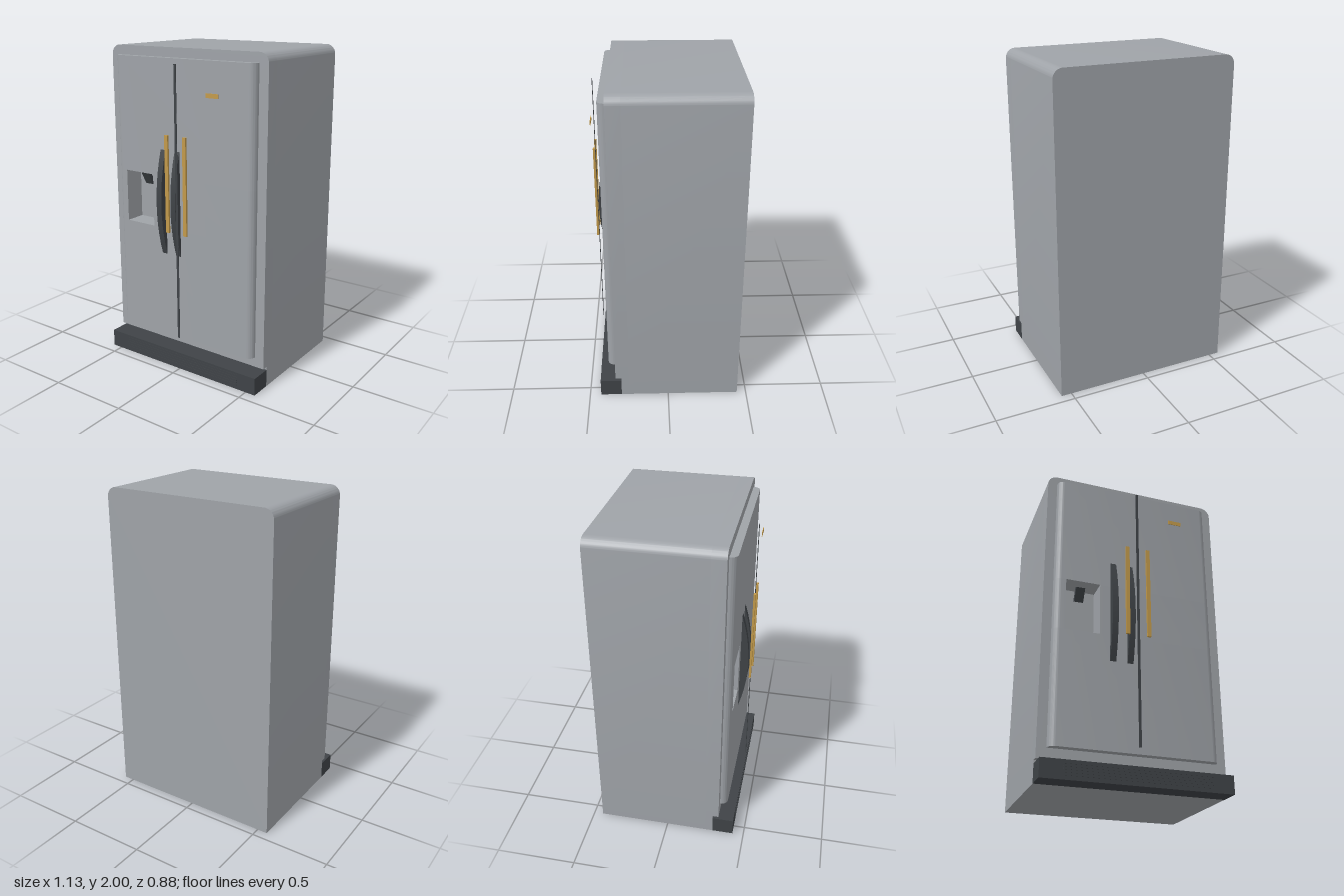
import * as THREE from 'three';
import { toCreasedNormals } from 'three/addons/utils/BufferGeometryUtils.js';

const steel = new THREE.MeshStandardMaterial({ color: 0x9fa3a8 });
const dark = new THREE.MeshStandardMaterial({ color: 0x3f4347 });
const gold = new THREE.MeshStandardMaterial({ color: 0xc29a4b });

// dispenser opening, cut through the door and into the cabinet
const HOLE = { x0: -0.438, x1: -0.225, y0: 0.902, y1: 1.232, back: 0.25 };
const REAR = -0.4425;

export function createModel() {
  const model = new THREE.Group();

  const add = (name, geometry, material) => {
    const mesh = new THREE.Mesh(geometry, material);
    mesh.name = name;
    model.add(mesh);
    return mesh;
  };
  const box = (name, material, x0, x1, y0, y1, z0, z1) => {
    const mesh = add(name, new THREE.BoxGeometry(x1 - x0, y1 - y0, z1 - z0), material);
    mesh.position.set((x0 + x1) / 2, (y0 + y1) / 2, (z0 + z1) / 2);
    return mesh;
  };
  const extrude = (shape, depth) => toCreasedNormals(
    new THREE.ExtrudeGeometry(shape, { depth, bevelEnabled: false, curveSegments: 10 }), 0.6);

  // cabinet outline with rounded top corners
  const cabinetShape = (bottom) => {
    const w = 0.565, r = 0.06, s = new THREE.Shape();
    s.moveTo(-w, bottom);
    s.lineTo(w, bottom);
    s.lineTo(w, 2 - r);
    s.absarc(w - r, 2 - r, r, 0, Math.PI / 2, false);
    s.lineTo(-w + r, 2);
    s.absarc(-w + r, 2 - r, r, Math.PI / 2, Math.PI, false);
    s.closePath();
    return s;
  };
  add('cabinet', extrude(cabinetShape(0), HOLE.back - REAR), steel).position.z = REAR;
  const frame = cabinetShape(0.13);
  frame.holes.push(new THREE.Path([
    [HOLE.x0, HOLE.y0], [HOLE.x0, HOLE.y1], [HOLE.x1, HOLE.y1], [HOLE.x1, HOLE.y0],
  ].map(([x, y]) => new THREE.Vector2(x, y))));
  add('cabinetFront', extrude(frame, 0.335 - HOLE.back), steel).position.z = HOLE.back;
  box('cabinetFoot', steel, -0.565, 0.565, 0, 0.13, HOLE.back, 0.298);

  // door panels: plan outline with rounded outer front edges, extruded upward
  const door = (name, x0, x1, y0, y1, roundLow, roundHigh) => {
    const r = 0.042, back = 0.335, front = 0.38, s = new THREE.Shape();
    s.moveTo(x0, -front + (roundLow ? r : 0));
    if (roundLow) s.absarc(x0 + r, -front + r, r, Math.PI, Math.PI * 1.5, false);
    s.lineTo(x1 - (roundHigh ? r : 0), -front);
    if (roundHigh) s.absarc(x1 - r, -front + r, r, -Math.PI / 2, 0, false);
    s.lineTo(x1, -back);
    s.lineTo(x0, -back);
    s.closePath();
    const mesh = add(name, extrude(s, y1 - y0), steel);
    mesh.rotation.x = -Math.PI / 2;
    mesh.position.y = y0;
  };
  const L = -0.507, R = 0.505;
  door('doorBottom', L, R, 0.193, HOLE.y0, true, true);
  door('doorTop', L, R, HOLE.y1, 1.942, true, true);
  door('doorMiddleRight', L, HOLE.x0, HOLE.y0, HOLE.y1, true, false);
  door('doorMiddleLeft', HOLE.x1, R, HOLE.y0, HOLE.y1, false, true);

  // dispenser lever, its lower end leaning back into the recess
  box('dispenserLever', dark, -0.361, -0.305, 1.14, 1.23, 0.288, 0.313).rotation.x = 0.5;

  // bowed handles
  const bow = new THREE.Shape();
  bow.moveTo(-0.38, 0.737);
  bow.quadraticCurveTo(-0.48, 1.067, -0.38, 1.397);
  bow.closePath();
  for (const x of [-0.16, -0.053]) {
    const mesh = add('handle', extrude(bow, 0.037), dark);
    mesh.rotation.y = Math.PI / 2;
    mesh.position.x = x;
  }

  // gilt trim bars, badge plate and the dark centre strip
  for (const x of [-0.08, 0.053]) box('trimBar', gold, x, x + 0.024, 0.902, 1.502, 0.43, 0.4425);
  box('badgePlate', gold, 0.217, 0.303, 1.742, 1.768, 0.43, 0.4335);
  box('doorGapStrip', dark, -0.008, 0.008, 0.217, 1.917, 0.431, 0.434);

  // kick plate with grille slats
  box('kickPlate', dark, -0.565, 0.565, 0, 0.11, 0.298, 0.43);
  for (let i = 0; i < 5; i++) {
    const y = 0.024 + i * 0.016;
    box('grilleSlat', dark, -0.435, 0.435, y, y + 0.008, 0.426, 0.432);
  }
  return model;
}
